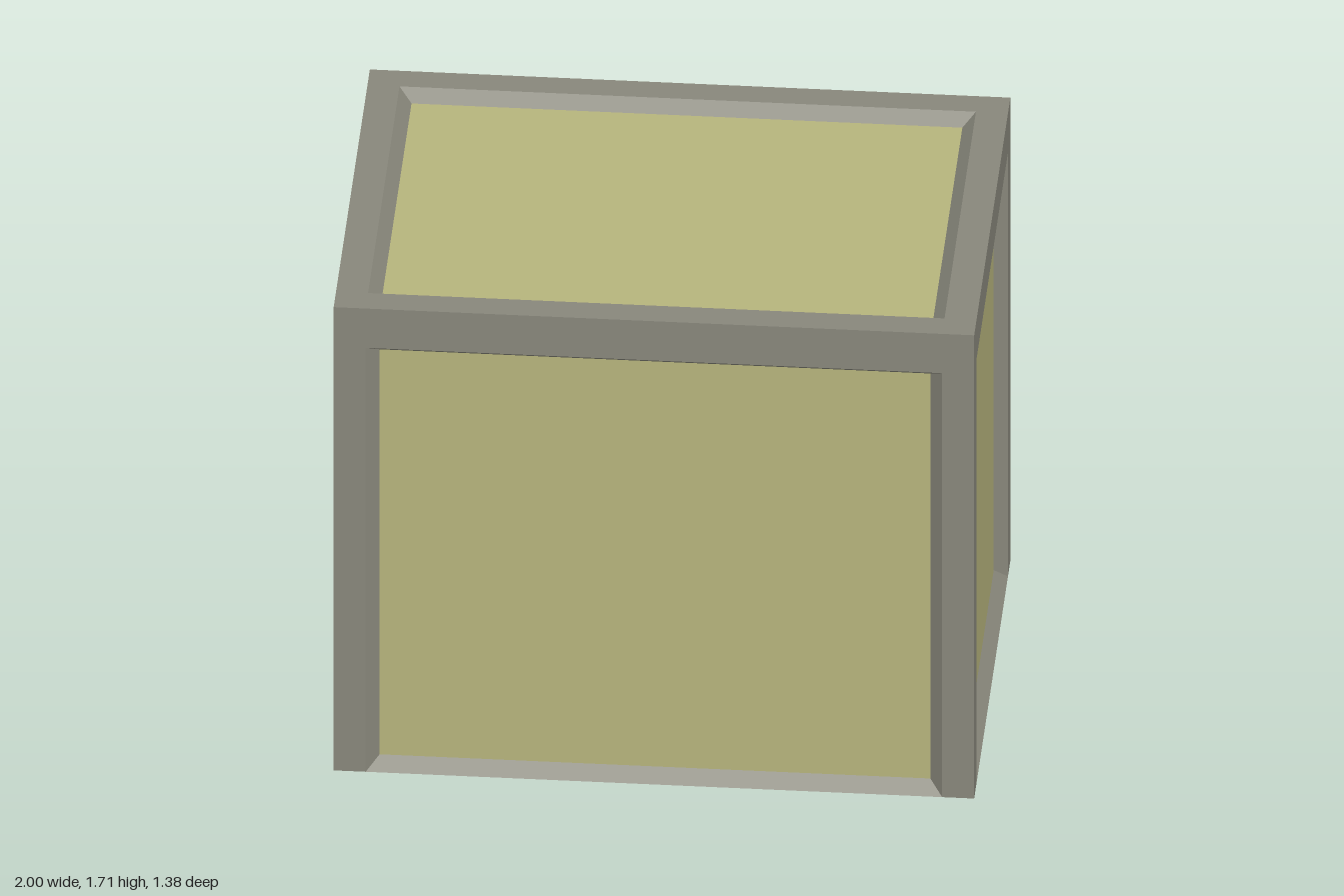
import * as THREE from 'three';

const W = 1, D = 0.69, H = 1.71;      // half width, half depth, height
const RECESS = 0.042;                 // how far the panels sit behind the frame

const material = (color) => new THREE.MeshStandardMaterial({ color });
const frameMat = material(0x88877b);
const wallMat = material(0xb6b47c);
const glassMat = material(0x9ac0cc);
const doorMat = material(0x7d7778);

// Counter-clockwise corners of a rectangle at depth z
function rect(half, y0, y1, z = 0) {
  return [[-half, y0, z], [half, y0, z], [half, y1, z], [-half, y1, z]];
}

// Flat strip of four quads between an outer and an inner loop
function strip(outer, inner) {
  const p = [];
  for (let i = 0; i < 4; i++) {
    const j = (i + 1) % 4;
    p.push(...outer[i], ...outer[j], ...inner[j], ...outer[i], ...inner[j], ...inner[i]);
  }
  const g = new THREE.BufferGeometry();
  g.setAttribute('position', new THREE.Float32BufferAttribute(p, 3));
  g.computeVertexNormals();
  return g;
}

function add(parent, name, geometry, mat, x = 0, y = 0, z = 0) {
  const mesh = new THREE.Mesh(geometry, mat);
  mesh.name = name;
  mesh.position.set(x, y, z);
  parent.add(mesh);
  return mesh;
}

// One face of the block: border, bevelled recess and (optionally) a plain panel
function framedFace(name, outer, opening, inner, bevelMat = frameMat, panel = true) {
  const g = new THREE.Group();
  g.name = name;
  add(g, name + 'Border', strip(rect(...outer), rect(...opening)), frameMat);
  add(g, name + 'Bevel', strip(rect(...opening), rect(...inner, -RECESS)), bevelMat);
  if (panel) {
    const [half, y0, y1] = inner;
    add(g, name + 'Panel', new THREE.PlaneGeometry(half * 2, y1 - y0), wallMat, 0, (y0 + y1) / 2, -RECESS);
  }
  return g;
}

// Wall with openings, each closed by a pane at the back of its reveal
function facadeWall(parent, half, y0, y1) {
  const reveal = 0.058;
  const openings = [
    ['upperWindowA', -0.49, -0.105, 0.885, 1.31, glassMat],
    ['upperWindowB', 0.08, 0.465, 0.885, 1.31, glassMat],
    ['lowerWindow', -0.01, 0.465, 0.215, 0.64, glassMat],
    ['door', -0.51, -0.175, 0.045, 0.64, doorMat],
  ];
  const outline = (a, b, c, d) => [[a, c], [b, c], [b, d], [a, d]].map(([x, y]) => new THREE.Vector2(x, y));
  const shape = new THREE.Shape(outline(-half, half, y0, y1));
  for (const [name, a, b, c, d, mat] of openings) {
    shape.holes.push(new THREE.Path(outline(a, b, c, d)));
    add(parent, name, new THREE.PlaneGeometry(b - a, d - c), mat, (a + b) / 2, (c + d) / 2, -RECESS - reveal);
  }
  const wall = new THREE.ExtrudeGeometry(shape, { depth: reveal, bevelEnabled: false });
  add(parent, 'facadeWall', wall, wallMat, 0, 0, -RECESS - reveal);
}

export function createModel() {
  const model = new THREE.Group();
  model.name = 'building';

  // Four upright sides; the one on -x carries the windows and door
  const sides = [
    ['front', 0, 0, D, W], ['back', Math.PI, 0, -D, W],
    ['leftSide', Math.PI / 2, W, 0, D], ['rightSide', -Math.PI / 2, -W, 0, D],
  ];
  for (const [name, turn, x, z, half] of sides) {
    const wide = half === W;
    const inner = [wide ? 0.86 : 0.57, 0.04, 1.535];
    const facade = name === 'rightSide';
    const face = framedFace(name, [half, 0, H], [wide ? 0.9 : 0.6, 0, 1.565], inner, frameMat, !facade);
    if (facade) facadeWall(face, ...inner);
    face.position.set(x, 0, z);
    face.rotation.y = turn;
    model.add(face);
  }

  // Roof and underside
  for (const [name, y, turn, bevel] of [['roof', H, -1, frameMat], ['underside', 0, 1, wallMat]]) {
    const face = framedFace(name, [W, -D, D], [0.9, -0.6, 0.6], [0.86, -0.57, 0.57], bevel);
    face.position.y = y;
    face.rotation.x = turn * Math.PI / 2;
    model.add(face);
  }
  return model;
}
